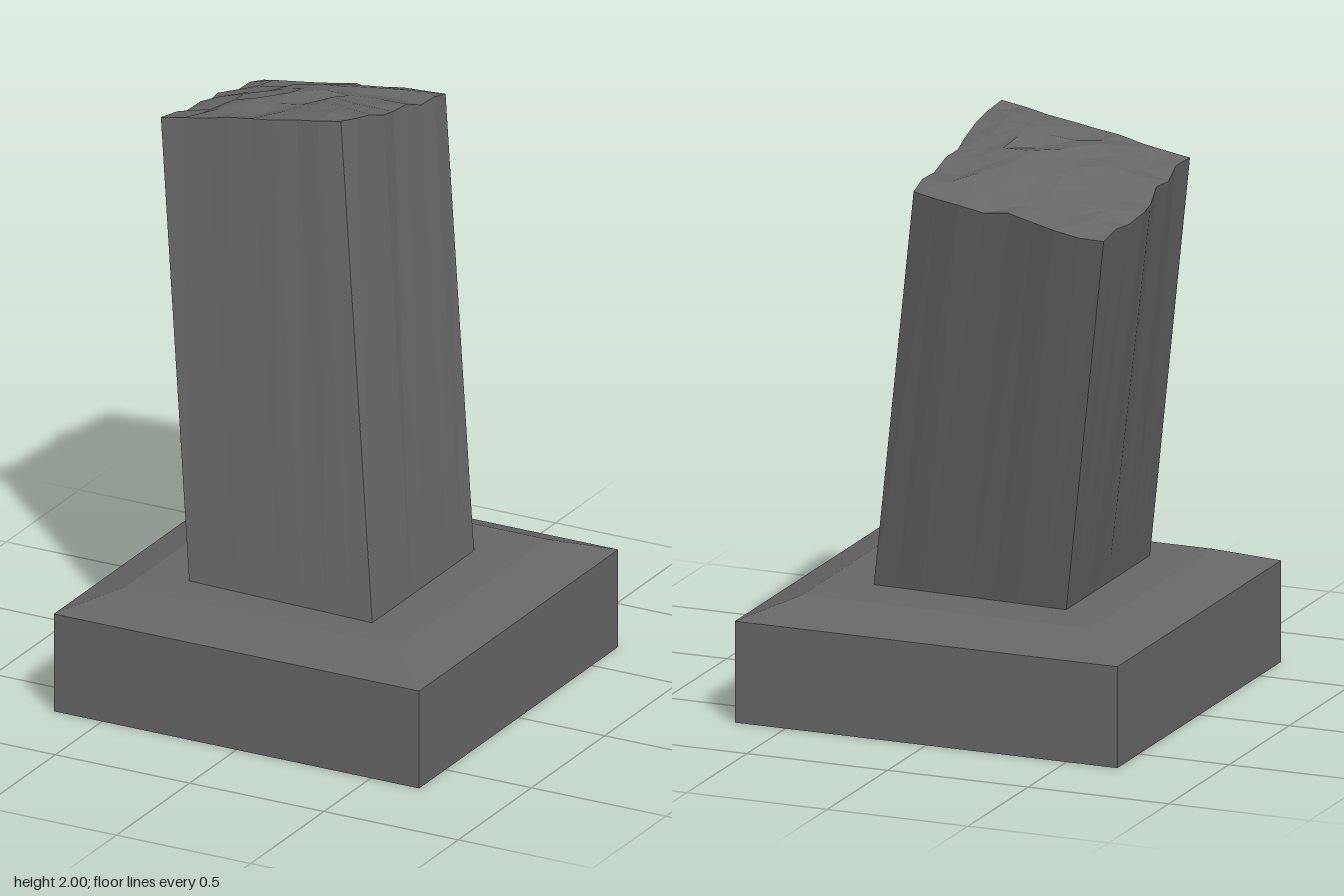
import * as THREE from 'three';

const N = 8; // facets along each side of the broken top

// Seeded noise in -1..1
function makeNoise(seed) {
  return () => {
    seed = (seed * 16807) % 2147483647;
    return (seed / 2147483647) * 2 - 1;
  };
}

const mix = (a, b, t) => a + (b - a) * t;

// Bilinear point; corners: front -x, front +x, back +x, back -x
function patch(c, u, v) {
  return [0, 1, 2].map(k => mix(mix(c[0][k], c[1][k], u), mix(c[3][k], c[2][k], u), v));
}

function flat(geometry) {
  const g = geometry.index ? geometry.toNonIndexed() : geometry;
  g.computeVertexNormals();
  return g;
}

// Leaning square shaft whose top is a rough, broken surface
function shaftGeometry() {
  const bottom = [[-0.35, 0.405, 0.36], [0.345, 0.405, 0.385], [0.345, 0.405, -0.31], [-0.35, 0.405, -0.335]];
  const top = [[-0.63, 1.88, 0.04], [0.04, 2.0, 0.04], [0.07, 1.86, -0.62], [-0.61, 1.77, -0.63]];
  // Chipping of the rim, sideways, from corner to corner
  const minusX = [0, 0.012, 0, 0.004, -0.014, -0.03, -0.013, -0.006, 0];
  const plusX = [0, 0.01, 0.012, 0.013, 0, 0.002, 0.006, 0.008, 0];
  const back = [0, -0.008, -0.014, -0.007, -0.003, -0.005, -0.022, -0.013, 0];
  const noise = makeNoise(4271);
  const grid = [];
  for (let j = 0; j <= N; j++) {
    for (let i = 0; i <= N; i++) {
      const u = i / N, v = j / N;
      const p = patch(top, u, v);
      const r = [noise(), noise(), noise()];
      const inner = i > 0 && i < N && j > 0 && j < N;
      const corner = (i % N === 0) && (j % N === 0);
      if (inner) {
        p[0] += r[0] * 0.012;
        p[1] += 0.045 * Math.sin(Math.PI * u) * Math.sin(Math.PI * v) + r[1] * 0.018;
        p[2] += r[2] * 0.012;
      } else if (!corner) {
        p[1] += r[1] * (j === 0 ? 0.006 : 0.014);
        if (i === 0) p[0] += minusX[j];
        if (i === N) p[0] += plusX[j];
        if (j === N) p[2] += back[i];
        if (j === 0) p[2] += r[2] * 0.004;
      }
      p[1] = Math.min(p[1], 2);
      grid.push(p);
    }
  }
  const topAt = (i, j) => grid[j * (N + 1) + i];
  const lowAt = (i, j) => patch(bottom, i / N, j / N);
  const pos = [];
  const quad = (a, b, c, d) => pos.push(...a, ...b, ...c, ...a, ...c, ...d);

  // Broken top
  for (let j = 0; j < N; j++) {
    for (let i = 0; i < N; i++) {
      quad(topAt(i, j), topAt(i + 1, j), topAt(i + 1, j + 1), topAt(i, j + 1));
    }
  }
  // Four sides, from the foot up to the rim
  const wall = (p, q) => quad(lowAt(...p), lowAt(...q), topAt(...q), topAt(...p));
  for (let k = 0; k < N; k++) {
    wall([k, 0], [k + 1, 0]);
    wall([N, k], [N, k + 1]);
    wall([N - k, N], [N - k - 1, N]);
    wall([0, N - k], [0, N - k - 1]);
  }
  // Underside
  quad(lowAt(0, 0), lowAt(0, N), lowAt(N, N), lowAt(N, 0));

  const g = new THREE.BufferGeometry();
  g.setAttribute('position', new THREE.Float32BufferAttribute(pos, 3));
  return flat(g);
}

export function createModel() {
  const stone = new THREE.MeshStandardMaterial({ color: 0x666666 });
  stone.name = 'dark stone';

  const model = new THREE.Group();
  model.name = 'brokenPillar';
  const add = (name, geometry) => {
    const mesh = new THREE.Mesh(geometry, stone);
    mesh.name = name;
    model.add(mesh);
  };

  // Square plinth
  add('plinth', new THREE.BoxGeometry(1.36, 0.345, 1.36).translate(0, 0.1725, 0));

  // Sloped cap of the plinth
  const cap = new THREE.CylinderGeometry(0.51 * Math.SQRT2, 0.68 * Math.SQRT2, 0.065, 4);
  add('plinthBevel', flat(cap.rotateY(Math.PI / 4).translate(0, 0.3775, 0)));

  // Leaning shaft
  add('shaft', shaftGeometry());
  return model;
}
